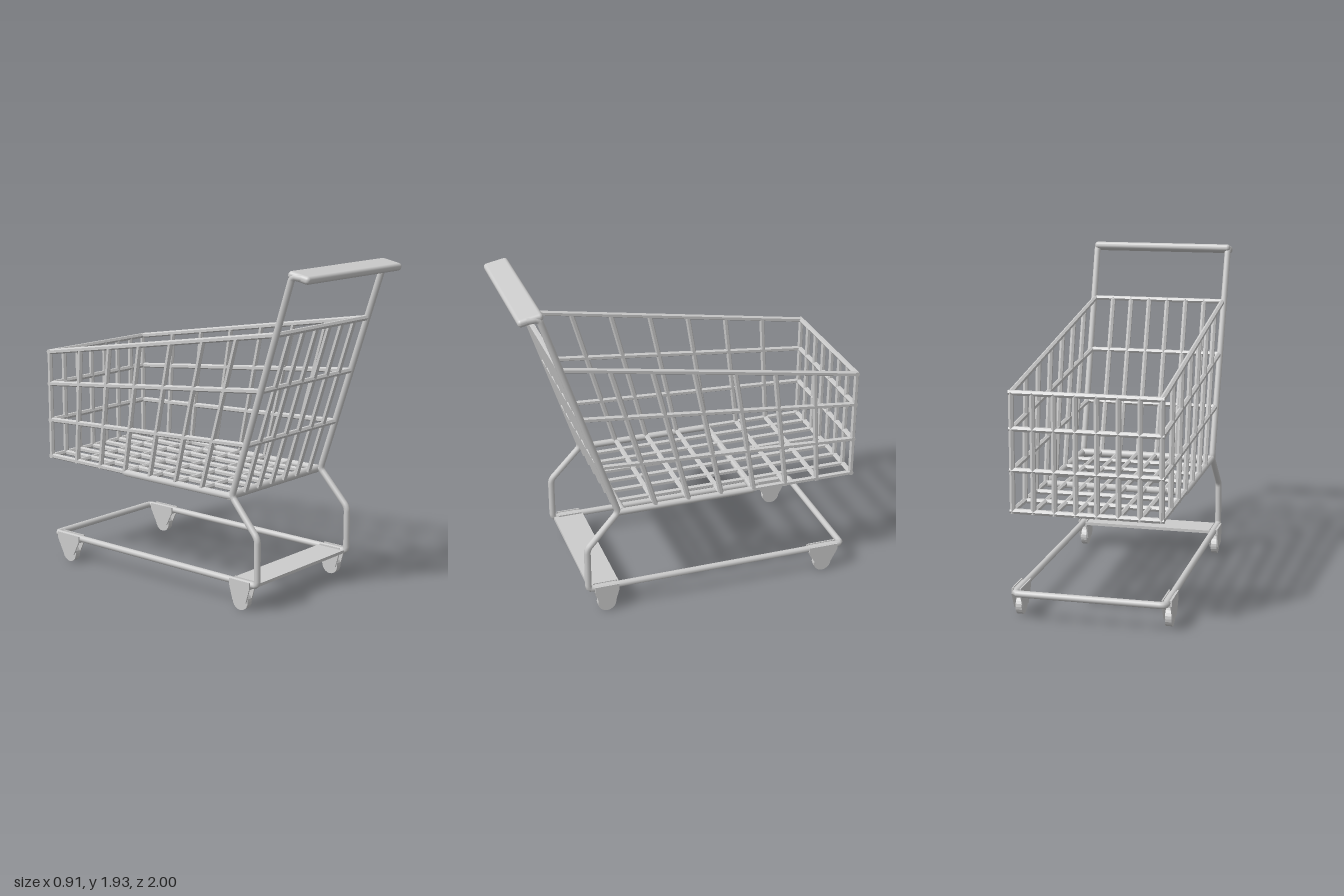
import * as THREE from 'three';
import { RoundedBoxGeometry } from 'three/addons/geometries/RoundedBoxGeometry.js';

const smooth = new THREE.MeshStandardMaterial({ color: 0xcccccc, side: THREE.DoubleSide });
const faceted = new THREE.MeshStandardMaterial({ color: 0xcccccc, flatShading: true });
const V = (x, y, z) => new THREE.Vector3(x, y, z);

function add(parent, name, geometry, material = smooth) {
  const mesh = new THREE.Mesh(geometry, material);
  mesh.name = name;
  parent.add(mesh);
  return mesh;
}

// Straight wire between two points
function bar(parent, name, a, b, r = 0.016, sides = 6, material = faceted) {
  const mesh = add(parent, name, new THREE.CylinderGeometry(r, r, a.distanceTo(b), sides), material);
  mesh.position.copy(a).lerp(b, 0.5);
  mesh.quaternion.setFromUnitVectors(V(0, 1, 0), b.clone().sub(a).normalize());
  return mesh;
}

// Bent tube through points with rounded corners
function bentTube(parent, name, points, r, bend) {
  const path = new THREE.CurvePath();
  let last = points[0];
  for (let i = 1; i < points.length - 1; i++) {
    const p = points[i];
    const before = p.clone().add(points[i - 1].clone().sub(p).setLength(bend));
    const after = p.clone().add(points[i + 1].clone().sub(p).setLength(bend));
    path.add(new THREE.LineCurve3(last, before));
    path.add(new THREE.QuadraticBezierCurve3(before, p, after));
    last = after;
  }
  path.add(new THREE.LineCurve3(last, points[points.length - 1]));
  return add(parent, name, new THREE.TubeGeometry(path, 500, r, 10, false));
}

// Castor: tapered fork plates, top block and wheel
function castor(name, x, z, top, bottom) {
  const group = new THREE.Group();
  group.name = name;
  const outline = new THREE.Shape([
    [top, 0.175], [-top, 0.175], [-top, 0.14], [-bottom, 0.05], [bottom, 0.05], [top, 0.14],
  ].map(([u, v]) => new THREE.Vector2(u, v)));
  const plate = new THREE.ExtrudeGeometry(outline, { depth: 0.008, bevelEnabled: false });
  plate.rotateY(Math.PI / 2);
  for (const s of [-0.028, 0.02]) add(group, 'forkPlate', plate, faceted).position.x = s;
  add(group, 'forkTop', new THREE.BoxGeometry(0.05, 0.04, top * 1.8), faceted).position.y = 0.15;
  const wheel = add(group, 'wheel', new THREE.CylinderGeometry(0.055, 0.055, 0.036, 20), faceted);
  wheel.rotation.z = Math.PI / 2;
  wheel.position.y = 0.055;
  group.position.set(x, 0, z);
  return group;
}

export function createModel() {
  const model = new THREE.Group();
  model.name = 'shoppingCart';
  const W = 0.413;

  // Main frame: down one post, round the base and up the other
  const half = [
    V(0.425, 1.895, 0.95), V(0.425, 1.9, 0.883), V(0.415, 0.64, 0.47),
    V(0.425, 0.43, 0.662), V(0.425, 0.157, 0.662), V(0.425, 0.157, -0.94),
  ];
  const mirrored = half.map(p => V(-p.x, p.y, p.z)).reverse();
  bentTube(model, 'mainFrame', [...half, ...mirrored], 0.0195, 0.025);

  // Support loop below the basket
  bentTube(model, 'basketSupport', [
    V(W, 0.637, 0.47), V(W, 0.637, -0.36), V(-W, 0.637, -0.36), V(-W, 0.637, 0.47),
  ], 0.02, 0.02);
  bar(model, 'rearCrossbar', V(-W, 0.637, 0.445), V(W, 0.637, 0.445), 0.024, 10, smooth);

  // Handle
  const handle = add(model, 'handle', new RoundedBoxGeometry(0.88, 0.044, 0.143, 3, 0.02));
  handle.position.set(0, 1.897, 0.928);
  handle.rotation.x = 0.2;

  // Rear tray
  add(model, 'rearTray', new THREE.BoxGeometry(0.83, 0.018, 0.185), faceted).position.set(0, 0.157, 0.565);

  // Basket rings: [rear y, rear z, front y]
  const basket = new THREE.Group();
  basket.name = 'basket';
  model.add(basket);
  const F = -0.981;
  const rings = [[0.642, 0.47, 0.642], [0.945, 0.57, 0.87], [1.262, 0.674, 1.098], [1.58, 0.778, 1.295]];
  rings.forEach(([ry, rz, fy], i) => {
    for (const s of [-1, 1]) bar(basket, 'sideRail', V(s * W, ry, rz), V(s * W, fy, F));
    bar(basket, 'frontRail', V(-W - 0.014, fy, F), V(W + 0.014, fy, F));
    if (i > 0) bar(basket, 'rearRail', V(-W, ry, rz), V(W, ry, rz));
  });

  // Lengthwise wires: rear wall, floor and front wall
  for (let i = 0; i < 8; i++) {
    const x = -W + i * W * 2 / 7;
    bar(basket, 'frontWire', V(x, 0.63, F), V(x, 1.3, F));
    if (i === 0 || i === 7) continue;
    bar(basket, 'rearWire', V(x, 0.642, 0.47), V(x, 1.585, 0.779));
    bar(basket, 'floorWire', V(x, 0.642, 0.45), V(x, 0.642, F));
  }

  // Crosswise wires: floor and both leaning sides
  for (let i = 0; i < 6; i++) {
    const zb = 0.24 - i * 0.2;
    const zt = 0.5 - i * 0.243;
    const yt = 1.295 + (zt - F) / (0.778 - F) * 0.285;
    bar(basket, 'floorCrossWire', V(-W, 0.642, zb), V(W, 0.642, zb));
    for (const s of [-1, 1]) bar(basket, 'sideWire', V(s * W, 0.63, zb), V(s * W, yt, zt));
  }

  // Castors
  for (const s of [-1, 1]) {
    model.add(castor('rearCastor', s * 0.426, 0.555, 0.073, 0.047));
    model.add(castor('frontCastor', s * 0.426, -0.815, 0.092, 0.045));
  }
  return model;
}
